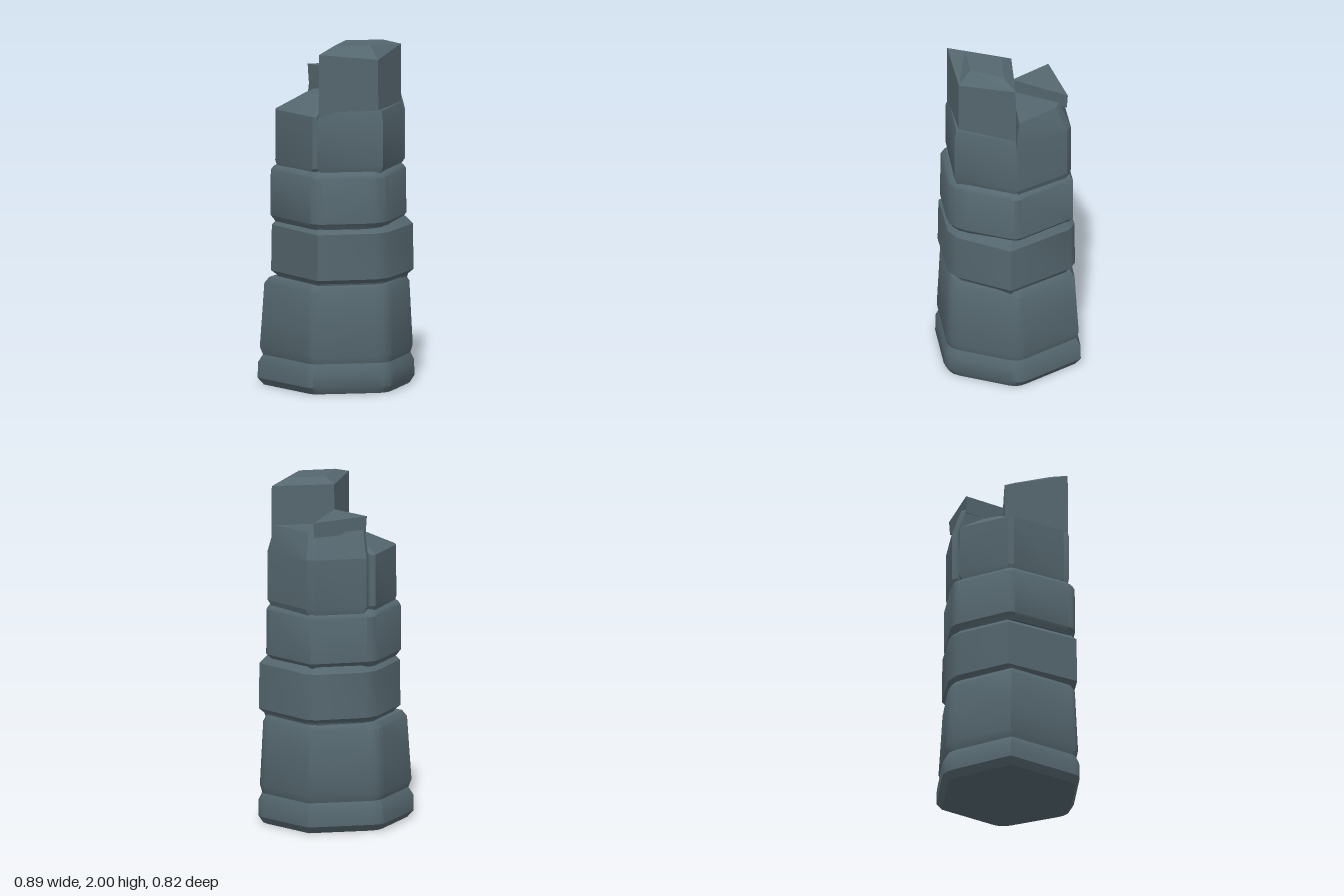
import * as THREE from 'three';
import { toCreasedNormals } from 'three/addons/utils/BufferGeometryUtils.js';

const stone = new THREE.MeshStandardMaterial({ color: 0x55676f });
stone.name = 'slate stone';

// Replace each corner by a rounded (steps > 1) or straight (steps = 1) cut
function cutCorners(corners, cuts, steps) {
  const out = [];
  corners.forEach(([x, z], i) => {
    const cut = cuts[i] || 0;
    if (!cut) { out.push([x, z]); return; }
    const n = corners.length;
    const p = new THREE.Vector2(x, z);
    const toward = (k) => {
      const q = new THREE.Vector2(...corners[(k + n) % n]);
      return p.clone().add(q.sub(p).setLength(cut));
    };
    const curve = new THREE.QuadraticBezierCurve(toward(i - 1), p, toward(i + 1));
    curve.getPoints(steps).forEach((v) => out.push([v.x, v.y]));
  });
  return out;
}

// Horizontal ring at height y, scaled about the outline's middle
function ring(outline, y, scale = 1) {
  const n = outline.length;
  const cx = outline.reduce((s, p) => s + p[0], 0) / n;
  const cz = outline.reduce((s, p) => s + p[1], 0) / n;
  return outline.map(([x, z]) => [cx + (x - cx) * scale, y, cz + (z - cz) * scale]);
}

// Skin a stack of rings (clockwise from above) and cap both ends
function loft(name, rings, crease = 0.6) {
  const n = rings[0].length;
  const pos = [];
  const tri = (...pts) => pts.forEach((p) => pos.push(...p));
  const middle = (r) => [0, 1, 2].map((k) => r.reduce((s, p) => s + p[k], 0) / n);
  const top = rings[rings.length - 1], low = rings[0];
  const cTop = middle(top), cLow = middle(low);
  for (let j = 0; j < n; j++) {
    const k = (j + 1) % n;
    for (let i = 0; i + 1 < rings.length; i++) {
      const a = rings[i], b = rings[i + 1];
      tri(a[j], b[j], b[k]);
      tri(a[j], b[k], a[k]);
    }
    tri(cTop, top[k], top[j]);
    tri(cLow, low[j], low[k]);
  }
  const geo = new THREE.BufferGeometry();
  geo.setAttribute('position', new THREE.Float32BufferAttribute(pos, 3));
  const mesh = new THREE.Mesh(toCreasedNormals(geo, crease), stone);
  mesh.name = name;
  return mesh;
}

const stack = (name, outline, levels) =>
  loft(name, levels.map(([y, s]) => ring(outline, y, s)));

export function createModel() {
  const pillar = new THREE.Group();
  pillar.name = 'brokenPillar';

  // Tapered base with a grooved foot
  const baseHex = cutCorners(
    [[-0.45, -0.092], [-0.145, -0.42], [0.29, -0.362], [0.458, 0.05], [0.195, 0.417], [-0.265, 0.358]],
    [0, 0.06, 0, 0.06, 0.07, 0.04], 3);
  pillar.add(stack('base', baseHex, [
    [0, 0.93], [0.04, 1], [0.13, 0.995], [0.175, 0.94], [0.22, 0.975], [0.4, 0.95], [0.59, 0.925], [0.625, 0.87],
  ]));

  // Lower drum with straight chipped corners
  const lowerHex = cutCorners(
    [[-0.37, -0.09], [-0.11, -0.375], [0.27, -0.34], [0.428, 0.09], [0.17, 0.39], [-0.22, 0.35]],
    [0, 0.05, 0.04, 0, 0.05, 0], 1);
  pillar.add(stack('lowerDrum', lowerHex, [
    [0.61, 0.9], [0.635, 0.92], [0.66, 1], [0.925, 0.99], [0.95, 0.93], [0.97, 0.88],
  ]));

  // Middle drum with rounded corners
  const middleHex = cutCorners(
    [[-0.385, -0.08], [-0.12, -0.365], [0.26, -0.325], [0.405, 0.05], [0.17, 0.39], [-0.23, 0.34]],
    [0.03, 0.05, 0, 0.04, 0.11, 0.05], 3);
  pillar.add(stack('middleDrum', middleHex, [
    [0.95, 0.93], [0.962, 0.95], [0.985, 1], [1.245, 0.995], [1.265, 0.96], [1.28, 0.9],
  ]));

  // Upper drum, split into three wedges meeting at the middle
  const front = [[0.01, -0.03], [0.392, 0.04], [0.17, 0.357], [-0.21, 0.305]];
  pillar.add(stack('frontWedge', front, [
    [1.265, 0.9], [1.315, 1], [1.57, 1], [1.63, 0.93],
  ]));

  const back = cutCorners(
    [[0.01, -0.03], [-0.1, -0.355], [0.262, -0.315], [0.388, 0.05]], [0, 0.03, 0.03, 0], 1);
  const backTop = cutCorners(
    [[0.01, -0.03], [-0.1, -0.3], [0.225, -0.255], [0.355, 0.02]], [0, 0.03, 0.03, 0], 1);
  pillar.add(loft('backWedge', [
    ring(back, 1.265, 0.93), ring(back, 1.3, 1), ring(back, 1.59, 1), ring(backTop, 1.74),
  ], 0.3));

  const left = cutCorners(
    [[0.01, -0.03], [-0.215, 0.3], [-0.36, -0.07], [-0.115, -0.345]], [0, 0.03, 0.02, 0.03], 1);
  const leftTop = cutCorners(
    [[0.01, -0.03], [-0.1, 0.08], [-0.16, -0.085], [-0.07, -0.2]], [0, 0.03, 0.02, 0.03], 1);
  pillar.add(loft('sideWedge', [
    ring(left, 1.265, 0.93), ring(left, 1.3, 1), ring(left, 1.6, 0.99), ring(leftTop, 1.69),
  ], 0.3));

  // Loose triangular slab left on the back wedge
  const slab = [[0.01, -0.03], [-0.1, -0.275], [0.235, -0.3]];
  const slabTop = ring(slab, 1.82);
  slabTop[2][1] = 1.805;
  pillar.add(loft('brokenSlab', [ring(slab, 1.72, 0.96), slabTop], 0.3));

  // Tall surviving block with a bevelled top
  const tall = [[0.01, -0.025], [0.365, 0.045], [0.15, 0.325], [-0.195, 0.3]];
  const tallTop = [[0.04, 0.04], [0.25, 0.085], [0.125, 0.25], [-0.085, 0.225]];
  const rim = ring(tall, 1.965);
  rim[2][1] = 1.925;
  pillar.add(loft('tallBlock', [ring(tall, 1.6, 1.01), rim, ring(tallTop, 2)], 0.3));

  return pillar;
}
